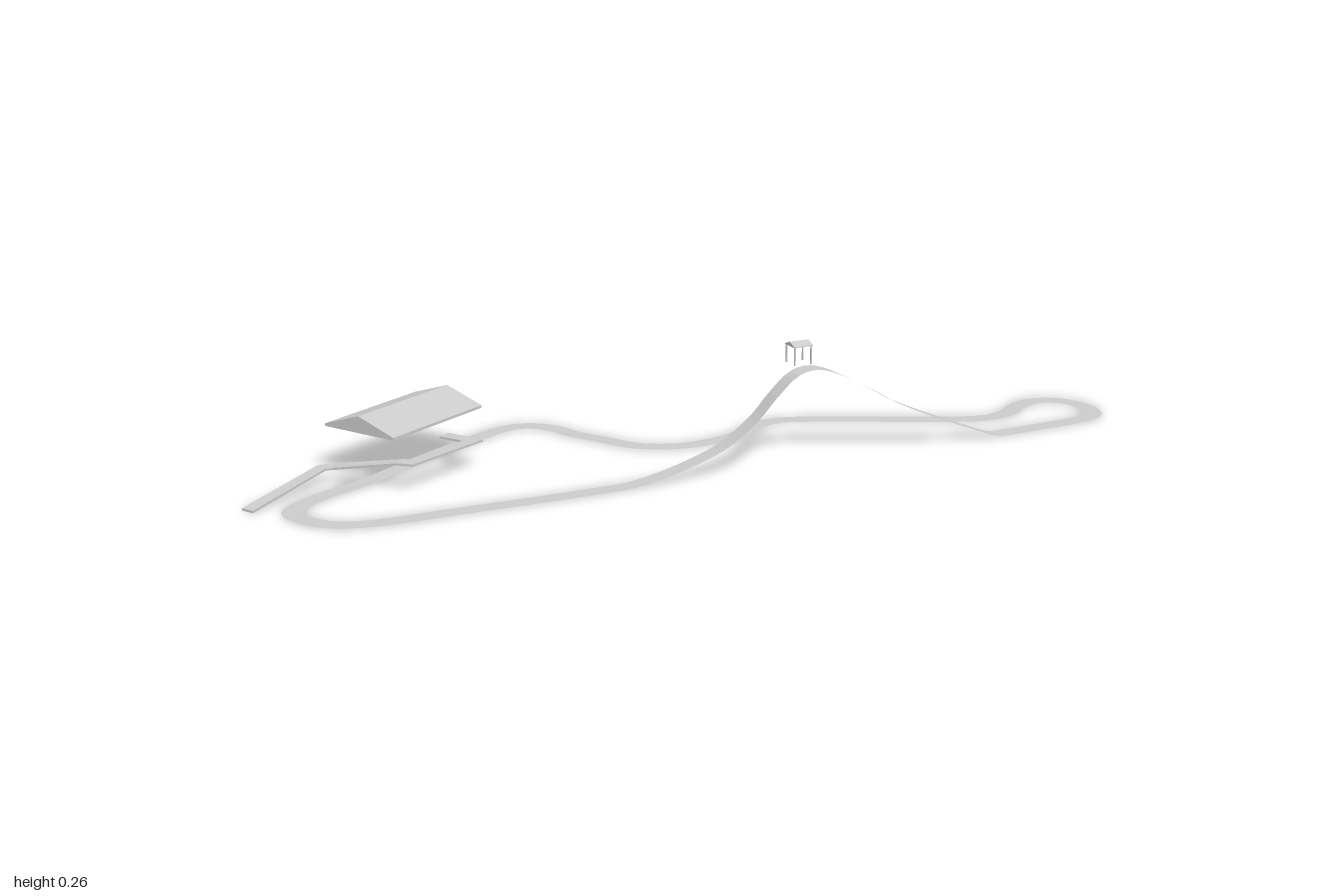
import * as THREE from 'three';

const mat = new THREE.MeshStandardMaterial({ color: 0xcccccc, side: THREE.DoubleSide, flatShading: true });

function mesh(name, geometry) {
  const m = new THREE.Mesh(geometry, mat);
  m.name = name;
  return m;
}

// Sweeps a level cross-section along points with mitred corners;
// thickness 0 gives a single flat strip.
function ribbon(points, width, thickness, closed) {
  const n = points.length, pos = [], idx = [];
  const k = thickness > 0 ? 4 : 2;
  const dir = (a, b) => new THREE.Vector2(b.x - a.x, b.z - a.z).normalize();
  points.forEach((p, i) => {
    const prev = points[closed ? (i + n - 1) % n : Math.max(i - 1, 0)];
    const next = points[closed ? (i + 1) % n : Math.min(i + 1, n - 1)];
    const d1 = prev === p ? dir(p, next) : dir(prev, p);
    const d2 = next === p ? d1 : dir(p, next);
    const t = d1.clone().add(d2).normalize();
    const h = width / 2 / Math.max(t.dot(d2), 0.5);
    const sx = t.y * h, sz = -t.x * h;
    pos.push(p.x + sx, p.y, p.z + sz, p.x - sx, p.y, p.z - sz);
    if (k === 4) pos.push(p.x - sx, p.y - thickness, p.z - sz, p.x + sx, p.y - thickness, p.z + sz);
  });
  const segments = closed ? n : n - 1;
  for (let i = 0; i < segments; i++) {
    const a = i * k, b = ((i + 1) % n) * k;
    for (let j = 0; j < (k === 4 ? 4 : 1); j++) {
      const q = (j + 1) % k;
      idx.push(a + j, a + q, b + j, a + q, b + q, b + j);
    }
  }
  if (k === 4 && !closed) {
    const e = (n - 1) * k;
    idx.push(0, 2, 1, 0, 3, 2, e, e + 1, e + 2, e, e + 2, e + 3);
  }
  const g = new THREE.BufferGeometry();
  g.setAttribute('position', new THREE.Float32BufferAttribute(pos, 3));
  g.setIndex(idx);
  g.computeVertexNormals();
  return g;
}

// Open-bottomed gable roof with a short fascia; ridge runs along x
function gableRoof(length, depth, fascia, height) {
  const d = depth / 2;
  const section = [[-d, 0], [-d, fascia], [0, height], [d, fascia], [d, 0]];
  const pos = [], idx = [];
  for (const x of [-length / 2, length / 2]) for (const [z, y] of section) pos.push(x, y, z);
  for (let i = 0; i < 4; i++) idx.push(i, i + 5, i + 1, i + 1, i + 5, i + 6);
  for (let i = 1; i < 4; i++) idx.push(0, i, i + 1, 5, i + 6, i + 5);
  const g = new THREE.BufferGeometry();
  g.setAttribute('position', new THREE.Float32BufferAttribute(pos, 3));
  g.setIndex(idx);
  g.computeVertexNormals();
  return g;
}

export function createModel() {
  const model = new THREE.Group();
  model.name = 'raceCircuit';

  // Circuit centre line: straight over the hill as x, z, y
  const hill = [
    [-0.91, 0.08], [-0.89, 0.15], [-0.85, 0.19], [-0.78, 0.212], [-0.6, 0.22], [-0.4, 0.228],
    [-0.25, 0.23, 0], [-0.19, 0.231, 0.007], [-0.1, 0.235, 0.03], [-0.02, 0.238, 0.06],
    [0.05, 0.24, 0.108], [0.1, 0.242, 0.16], [0.145, 0.243, 0.197], [0.185, 0.244, 0.207],
    [0.23, 0.246, 0.197], [0.33, 0.249, 0.145], [0.41, 0.252, 0.1], [0.6, 0.263, 0.02],
    [0.66, 0.266, 0], [0.78, 0.265],
  ];
  // Winding return leg on level ground
  const bends = [
    [0.91, 0.257], [0.955, 0.235], [0.972, 0.18], [0.96, 0.13], [0.93, 0.1], [0.885, 0.088],
    [0.83, 0.107], [0.79, 0.135], [0.75, 0.151], [0.7, 0.151], [0.64, 0.13], [0.48, 0.05],
    [0.33, -0.024], [0.265, -0.044], [0.21, -0.034], [0.147, 0.008], [0.083, 0.028],
    [0.01, 0.034], [-0.055, 0.018], [-0.11, -0.02], [-0.15, -0.085], [-0.195, -0.157],
    [-0.215, -0.21], [-0.25, -0.253], [-0.29, -0.267], [-0.335, -0.258], [-0.44, -0.205],
    [-0.72, -0.04], [-0.85, 0.023],
  ];
  const line = hill.concat(bends).map(([x, z, y = 0]) => new THREE.Vector3(x, y, z));
  const centre = new THREE.CatmullRomCurve3(line, true).getSpacedPoints(260).slice(0, -1);
  centre.forEach((p) => { p.y = Math.max(p.y, 0); });
  model.add(mesh('track', ribbon(centre, 0.042, 0, true)));

  // Raised access walkway: two ramps, a landing and the upper deck
  const walk = [
    [-0.987, 0.004, 0.033], [-0.8, 0.034, -0.078], [-0.775, 0.034, -0.076],
    [-0.665, 0.06, 0.035], [-0.648, 0.06, 0.05], [-0.48, 0.06, -0.035], [-0.522, 0.06, -0.1],
  ].map((p) => new THREE.Vector3(...p));
  model.add(mesh('walkway', ribbon(walk, 0.03, 0.005, false)));

  // Large canopy turned over the walkway
  const canopy = mesh('canopyRoof', gableRoof(0.287, 0.19, 0.006, 0.037));
  canopy.position.set(-0.598, 0.102, -0.13);
  canopy.rotation.y = Math.PI / 6;
  model.add(canopy);

  // Small shelter on four posts beside the crest
  const shelter = new THREE.Group();
  shelter.name = 'shelter';
  shelter.position.set(0.181, 0, 0.202);
  const roof = mesh('shelterRoof', gableRoof(0.046, 0.04, 0.002, 0.01));
  roof.position.y = 0.248;
  shelter.add(roof);
  for (const sx of [-1, 1]) for (const sz of [-1, 1]) {
    const post = mesh('shelterPost', new THREE.BoxGeometry(0.003, 0.042, 0.003));
    post.position.set(sx * 0.02, 0.229, sz * 0.018);
    shelter.add(post);
  }
  model.add(shelter);

  return model;
}
